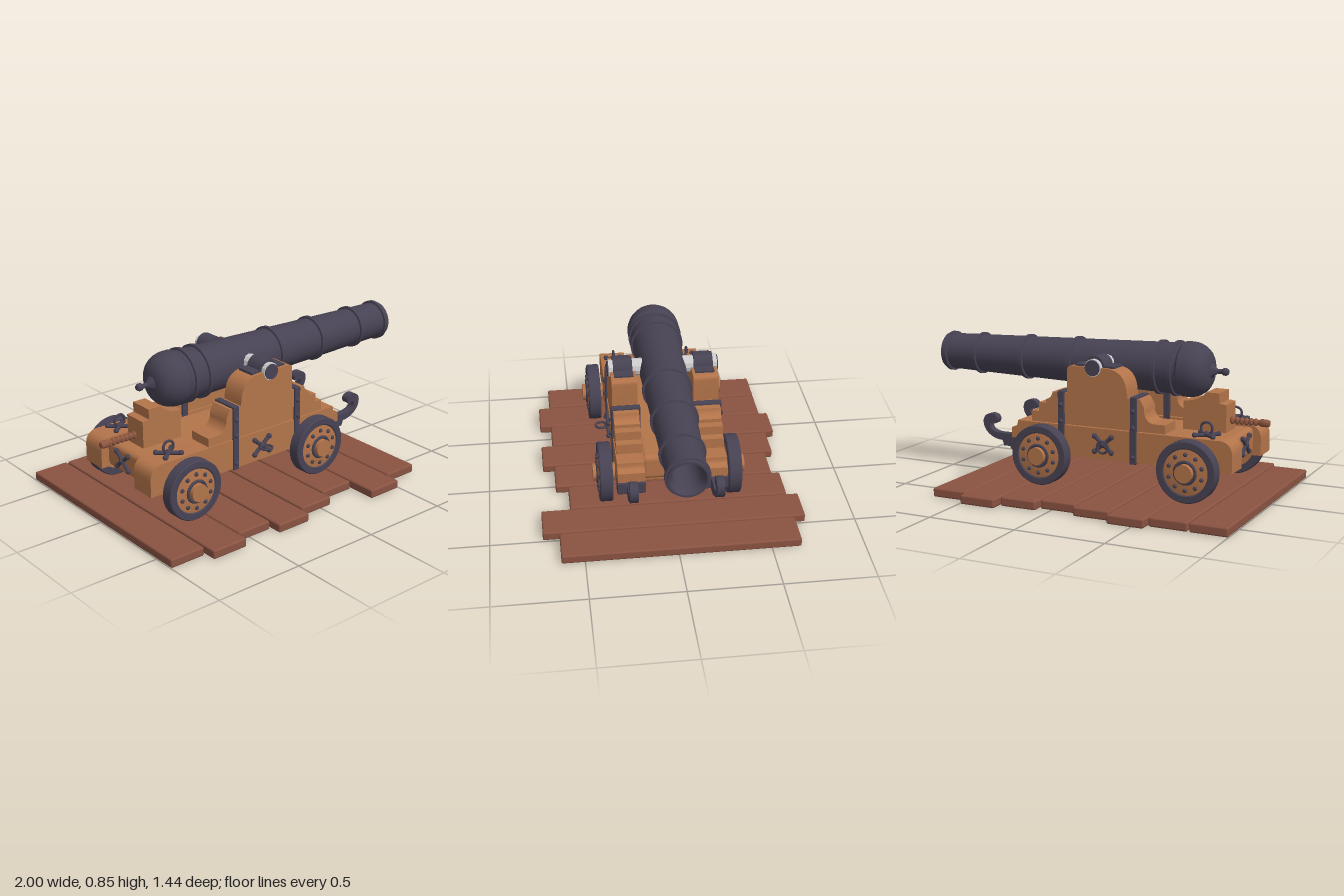
import * as THREE from 'three';
import { toCreasedNormals } from 'three/addons/utils/BufferGeometryUtils.js';
import { RoundedBoxGeometry } from 'three/addons/geometries/RoundedBoxGeometry.js';

const mat = (color, side = THREE.FrontSide) => new THREE.MeshStandardMaterial({ color, side });
const WOOD = mat(0xb3744a), IRON = mat(0x474253), DECK = mat(0x8a5342), GREY = mat(0xcccccc), HANDLE = mat(0x8f5740);
const AXIS_Y = 0.695;

export function createModel() {
  const root = new THREE.Group();

  const add = (parent, name, geo, material, x = 0, y = 0, z = 0) => {
    const m = new THREE.Mesh(geo, material);
    m.name = name;
    m.position.set(x, y, z);
    parent.add(m);
    return m;
  };
  const group = (parent, name, x = 0, y = 0, z = 0) => {
    const g = new THREE.Group();
    g.name = name;
    g.position.set(x, y, z);
    parent.add(g);
    return g;
  };
  // Box given by its limits, with softened edges
  const block = (parent, name, material, x0, x1, y0, y1, z0, z1, r = 0.006) =>
    add(parent, name, new RoundedBoxGeometry(x1 - x0, y1 - y0, z1 - z0, 2, r), material,
      (x0 + x1) / 2, (y0 + y1) / 2, (z0 + z1) / 2);
  // Side outline extruded from z0 to z1
  const slab = (parent, name, shape, material, z0, z1) => {
    const geo = new THREE.ExtrudeGeometry(shape, { depth: z1 - z0, bevelEnabled: false, curveSegments: 10 });
    return add(parent, name, toCreasedNormals(geo, 0.6), material, 0, 0, z0);
  };
  const lathe = (pts, seg = 40) =>
    toCreasedNormals(new THREE.LatheGeometry(pts.map(p => new THREE.Vector2(p[0], p[1])), seg), 0.6);

  // Deck planks: x0, x1, z0, z1
  const deck = group(root, 'deck');
  [[-1, -0.795, -0.66, 0.625], [-0.785, -0.575, -0.66, 0.69], [-0.57, -0.365, -0.71, 0.625],
    [-0.355, -0.15, -0.66, 0.69], [-0.14, 0.065, -0.615, 0.625], [0.073, 0.28, -0.66, 0.555],
    [0.288, 0.493, -0.722, 0.715], [0.5, 0.705, -0.66, 0.625],
  ].forEach(([x0, x1, z0, z1]) => block(deck, 'plank', DECK, x0, x1, 0, 0.05, z0, z1, 0.01));

  // Barrel profile: radius, position along x
  const gun = group(root, 'gun', 0, AXIS_Y, 0);
  const profile = [[0, -0.65], [0.05, -0.65]];
  for (let i = 1; i <= 8; i++) {
    const a = (i / 8) * Math.PI / 2;
    profile.push([0.05 + 0.1 * Math.sin(a), -0.53 - 0.118 * Math.cos(a)]);
  }
  profile.push([0.15, -0.5], [0.138, -0.485]);
  const bodyRadius = x => 0.14 - (x + 0.485) / 1.485 * 0.038;
  [[-0.455, 0.012], [-0.36, 0.012], [0.15, 0.011], [0.46, 0.011], [0.77, 0.01], [0.97, 0.012]].forEach(([x, w]) => {
    const r = bodyRadius(x);
    profile.push([r, x - w], [r + 0.012, x - w * 0.8], [r + 0.012, x + w * 0.8], [r, x + w]);
  });
  profile.push([0.103, 0.99], [0.103, 1], [0.092, 1], [0.085, 0.985], [0.075, 0.96], [0.066, 0.7], [0, 0.68]);
  add(gun, 'barrel', lathe(profile, 48), IRON).rotation.z = -Math.PI / 2;
  const knob = [[0, -0.745], [0.014, -0.742], [0.021, -0.73], [0.02, -0.715], [0.013, -0.705], [0.013, -0.68], [0.03, -0.66], [0.05, -0.64]];
  add(gun, 'breechKnob', lathe(knob, 20), IRON).rotation.z = -Math.PI / 2;

  // Trunnion bar with iron end caps
  const trunnion = group(root, 'trunnion', -0.085, 0.713, 0);
  add(trunnion, 'trunnionBar', new THREE.CylinderGeometry(0.048, 0.048, 0.6, 12).toNonIndexed(), GREY).rotation.x = Math.PI / 2;
  trunnion.children[0].geometry.computeVertexNormals();
  for (const s of [1, -1])
    add(trunnion, 'trunnionCap', new THREE.CylinderGeometry(0.043, 0.043, 0.012, 20), IRON, 0, 0, s * 0.3).rotation.x = Math.PI / 2;

  // Side outlines of the carriage
  const lower = new THREE.Shape();
  lower.moveTo(-0.88, 0.22);
  lower.lineTo(0.415, 0.22);
  lower.lineTo(0.415, 0.345);
  lower.lineTo(0.395, 0.35);
  lower.quadraticCurveTo(0.377, 0.355, 0.377, 0.388);
  lower.lineTo(-0.81, 0.388);
  lower.quadraticCurveTo(-0.88, 0.385, -0.88, 0.31);

  const upper = new THREE.Shape();
  upper.moveTo(-0.505, 0.392);
  [[0.29, 0.392], [0.29, 0.45], [0.245, 0.45], [0.245, 0.5], [0.2, 0.5], [0.2, 0.52]].forEach(p => upper.lineTo(...p));
  upper.quadraticCurveTo(0.165, 0.53, 0.16, 0.565);
  upper.lineTo(0.07, 0.565);
  upper.lineTo(0.07, 0.69);
  upper.quadraticCurveTo(0.07, 0.715, 0.045, 0.715);
  upper.lineTo(-0.16, 0.715);
  upper.bezierCurveTo(-0.25, 0.71, -0.285, 0.66, -0.285, 0.565);
  upper.lineTo(-0.36, 0.565);
  upper.lineTo(-0.385, 0.52);
  upper.lineTo(-0.385, 0.495);
  upper.quadraticCurveTo(-0.395, 0.445, -0.44, 0.44);
  upper.lineTo(-0.505, 0.44);

  // Strap over the trunnion: flat feet with a round hump
  const cap = new THREE.Shape();
  cap.moveTo(-0.2, 0.712);
  cap.lineTo(0.03, 0.712);
  cap.lineTo(0.03, 0.725);
  cap.lineTo(-0.027, 0.725);
  cap.absarc(-0.085, 0.717, 0.058, 0.14, Math.PI - 0.14, false);
  cap.lineTo(-0.2, 0.725);

  const hook = new THREE.Shape();
  hook.moveTo(0.41, 0.222);
  hook.lineTo(0.495, 0.222);
  hook.lineTo(0.505, 0.252);
  hook.bezierCurveTo(0.58, 0.255, 0.628, 0.3, 0.628, 0.35);
  hook.bezierCurveTo(0.628, 0.405, 0.55, 0.41, 0.537, 0.375);
  hook.bezierCurveTo(0.533, 0.345, 0.555, 0.335, 0.572, 0.348);
  hook.bezierCurveTo(0.59, 0.35, 0.592, 0.325, 0.575, 0.308);
  hook.quadraticCurveTo(0.55, 0.29, 0.5, 0.292);
  hook.lineTo(0.41, 0.292);

  // Crossed iron staple with knobbed ends, lying in its own xy plane
  const addCross = (parent, x, y, z) => {
    const g = group(parent, 'crossStaple', x, y, z);
    for (const s of [1, -1]) {
      add(g, 'stapleBar', new THREE.CapsuleGeometry(0.011, 0.11, 4, 10), IRON, 0, 0, 0.005).rotation.z = s * 0.88;
      for (const e of [1, -1])
        add(g, 'stapleKnob', new THREE.SphereGeometry(0.015, 12, 8), IRON, e * 0.05, s * 0.042, 0.006);
    }
    add(g, 'stapleBoss', new THREE.SphereGeometry(0.018, 12, 8), IRON, 0, 0, 0.008);
    return g;
  };
  const ringGeo = new THREE.TorusGeometry(0.032, 0.007, 8, 24);

  // Carriage sides, mirrored
  const carriage = group(root, 'carriage');
  for (const s of [1, -1]) {
    const span = (a, b) => (s > 0 ? [a, b] : [-b, -a]);
    slab(carriage, 'lowerCheek', lower, WOOD, ...span(0.15, 0.297));
    slab(carriage, 'upperCheek', upper, WOOD, ...span(0.154, 0.293));
    slab(carriage, 'trunnionStrap', cap, IRON, ...span(0.17, 0.275));
    slab(carriage, 'towHook', hook, IRON, ...span(0.206, 0.25));
    block(carriage, 'hookPlate', IRON, 0.355, 0.425, 0.22, 0.29, ...span(0.148, 0.302));

    for (const x of [-0.325, 0.105]) {
      block(carriage, 'cheekStrap', IRON, x - 0.019, x + 0.019, 0.212, 0.575, ...span(0.143, 0.304), 0.004);
      for (const y of [0.25, 0.41, 0.5])
        add(carriage, 'strapBolt', new THREE.SphereGeometry(0.013, 12, 8), IRON, x, y, s * 0.304);
    }

    const side = addCross(carriage, -0.15, 0.305, s * 0.299);
    if (s < 0) side.rotation.y = Math.PI;
    const top = addCross(carriage, -0.71, 0.392, s * 0.222);
    top.rotation.x = -Math.PI / 2;
    add(carriage, 'topRing', ringGeo, IRON, -0.71, 0.432, s * 0.222);
  }
  add(carriage, 'sideRing', ringGeo, IRON, -0.15, 0.305, 0.342).rotation.x = Math.PI / 2;
  add(carriage, 'hangingRing', ringGeo, IRON, -0.15, 0.29, -0.312);

  // Bed between the cheeks, with a staple at the rear
  block(carriage, 'bed', WOOD, -0.84, 0.32, 0.23, 0.38, -0.16, 0.16, 0.03);
  addCross(carriage, -0.842, 0.31, 0).rotation.y = -Math.PI / 2;

  // Elevating wedge and its turned handle
  const wedge = new THREE.Shape();
  wedge.moveTo(-0.76, 0.37);
  wedge.lineTo(-0.515, 0.37);
  wedge.lineTo(-0.515, 0.535);
  wedge.quadraticCurveTo(-0.61, 0.54, -0.645, 0.59);
  [[-0.72, 0.59], [-0.72, 0.535], [-0.76, 0.53]].forEach(p => wedge.lineTo(...p));
  slab(carriage, 'wedge', wedge, WOOD, -0.07, 0.07);
  const turned = [[0, -0.98], [0.016, -0.977], [0.021, -0.96], [0.02, -0.93], [0.013, -0.918]];
  for (let i = 0; i < 6; i++) {
    const x = -0.912 + i * 0.026;
    turned.push([0.013, x], [0.02, x + 0.007], [0.02, x + 0.015], [0.013, x + 0.022]);
  }
  turned.push([0.013, -0.75]);
  add(carriage, 'wedgeHandle', lathe(turned, 18), HANDLE, 0, 0.438, 0).rotation.z = -Math.PI / 2;

  // Axles and wheels
  const tire = lathe([[0.122, 0], [0.16, 0], [0.165, 0.006], [0.165, 0.066], [0.16, 0.072], [0.128, 0.072], [0.122, 0.066], [0.122, 0]], 48);
  const disc = lathe([[0, 0.004], [0.125, 0.004], [0.125, 0.066], [0.07, 0.075], [0, 0.075]], 40);
  for (const x of [-0.66, 0.2]) {
    add(carriage, 'axle', new THREE.CylinderGeometry(0.048, 0.048, 0.84, 28), WOOD, x, 0.225, 0).rotation.x = Math.PI / 2;
    block(carriage, 'axleBeam', WOOD, x - 0.06, x + 0.06, 0.178, 0.27, -0.3, 0.3, 0.015);
    for (const s of [1, -1]) {
      const wheel = group(carriage, 'wheel', x, 0.225, s * 0.317);
      wheel.rotation.x = s * Math.PI / 2;
      add(wheel, 'tire', tire, IRON);
      add(wheel, 'wheelDisc', disc, WOOD);
      add(wheel, 'hubRing', new THREE.TorusGeometry(0.057, 0.009, 8, 32), IRON, 0, 0.076, 0).rotation.x = Math.PI / 2;
      for (let i = 0; i < 10; i++) {
        const a = (i + 0.5) / 10 * Math.PI * 2;
        add(wheel, 'wheelBolt', new THREE.SphereGeometry(0.012, 10, 6), IRON, Math.cos(a) * 0.095, 0.071, Math.sin(a) * 0.095);
      }
    }
  }
  return root;
}
